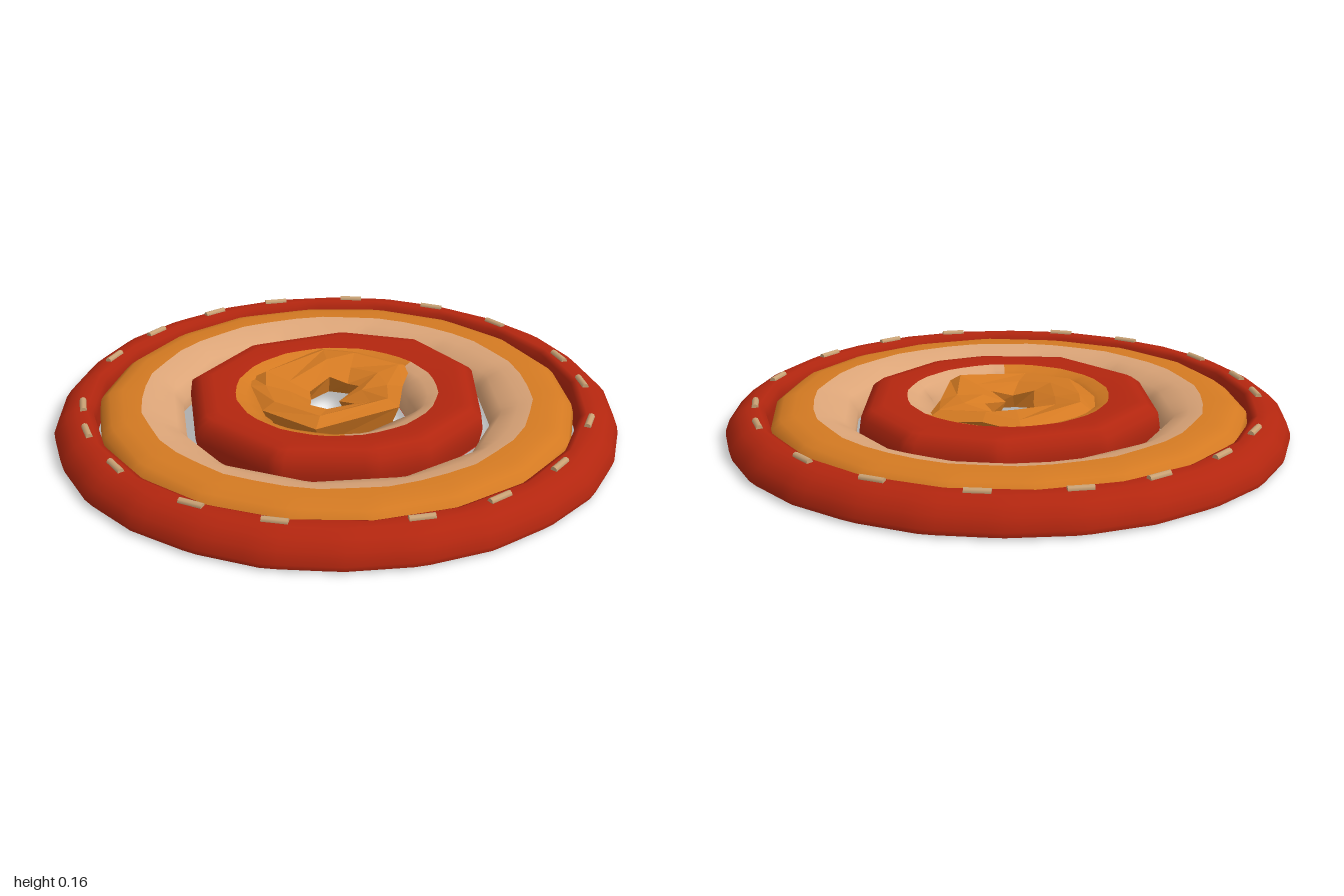
import * as THREE from 'three';

const SEG = 120;
const TAU = Math.PI * 2;

// Regular polygon outline as [x, z] corners, with a slight hand-made unevenness
function regular(n, r, phase = 0, uneven = 0) {
  return Array.from({ length: n }, (_, i) => {
    const a = phase + (i / n) * TAU;
    const q = r * (1 + uneven * Math.sin(i * 2.4));
    return [q * Math.cos(a), q * Math.sin(a)];
  });
}

// Distance from the centre to an outline in the direction a
function reach(outline, a) {
  const dx = Math.cos(a), dz = Math.sin(a);
  for (let i = 0; i < outline.length; i++) {
    const [px, pz] = outline[i], [qx, qz] = outline[(i + 1) % outline.length];
    const ex = qx - px, ez = qz - pz;
    const den = dx * ez - dz * ex;
    const t = (px * ez - pz * ex) / den;
    const u = (px * dz - pz * dx) / den;
    if (t > 0 && u >= -1e-6 && u <= 1 + 1e-6) return t;
  }
  return 0;
}

// One ring of points: outline scaled and raised to y
const row = (outline, scale, y) => Array.from({ length: SEG }, (_, j) => {
  const a = (j / SEG) * TAU, r = reach(outline, a) * scale;
  return [r * Math.cos(a), y, r * Math.sin(a)];
});

// Skin between successive rings of points; pick chooses which segments to keep
function loft(name, rows, material, pick = () => true) {
  const n = rows[0].length, index = [];
  for (let i = 0; i < rows.length - 1; i++) {
    for (let j = 0; j < n; j++) {
      if (!pick(j / n)) continue;
      const k = (j + 1) % n;
      const a = i * n + j, b = i * n + k, c = a + n, d = b + n;
      index.push(a, c, b, b, c, d);
    }
  }
  const g = new THREE.BufferGeometry();
  g.setAttribute('position', new THREE.Float32BufferAttribute(rows.flat(2), 3));
  g.setIndex(index);
  g.computeVertexNormals();
  const mesh = new THREE.Mesh(g, material);
  mesh.name = name;
  return mesh;
}

function mat(name, color, extra = {}) {
  const m = new THREE.MeshStandardMaterial({ color, side: THREE.DoubleSide, ...extra });
  m.name = name;
  return m;
}

export function createModel() {
  const root = new THREE.Group();
  root.name = 'layeredDisc';
  const red = mat('red', 0xb3260f);
  const orange = mat('orange', 0xd47a22, { flatShading: false });
  const tan = mat('tan', 0xdca578);
  const thread = mat('thread', 0xcaa376);

  // Outer red rim
  const rimOut = regular(26, 1, 0, 0.003);
  const rimIn = regular(20, 0.857, 0.1);
  root.add(loft('rim', [
    row(rimOut, 0.995, 0.012), row(rimOut, 1, 0.03), row(rimOut, 0.985, 0.07),
    row(rimOut, 0.955, 0.1), row(rimOut, 0.92, 0.117), row(rimIn, 1.03, 0.12),
    row(rimIn, 1.005, 0.108), row(rimIn, 1, 0.07), row(rimIn, 1, 0.012),
  ], red));
  root.add(loft('rimUnderside', [row(rimIn, 1, 0.012), row(rimOut, 0.995, 0.012)], red));

  // Middle ring: orange outer band, tan inner band, red underside
  const midOut = regular(18, 0.85, 0.2, 0.005);
  const midIn = regular(12, 0.562, -0.04, 0.01);
  const border = regular(40, 0.692, 0, 0.006);
  root.add(loft('middleOrangeBand', [
    row(midOut, 0.985, 0.012), row(midOut, 1, 0.06), row(midOut, 0.99, 0.09),
    row(midOut, 0.955, 0.112), row(midOut, 0.9, 0.125), row(border, 1, 0.125),
  ], orange));
  root.add(loft('middleTanBand', [
    row(border, 1, 0.125), row(border, 0.93, 0.115), row(midIn, 1.06, 0.09),
    row(midIn, 1, 0.05), row(midIn, 1, 0.01),
  ], tan));
  root.add(loft('middleUnderside', [row(midIn, 1, 0.01), row(midOut, 0.985, 0.01)], red));

  // Inner faceted ring: red band, sloping inner lip in orange and tan
  const inOut = [[0.57, -0.06], [0.5, 0.24], [0.2, 0.5], [-0.12, 0.51], [-0.3, 0.42],
    [-0.51, 0.17], [-0.5, -0.21], [-0.25, -0.49], [0.09, -0.53], [0.43, -0.34]];
  const lip = regular(40, 0.36, 0, 0.006);
  const opening = regular(6, 0.29, 0.1, 0.02);
  root.add(loft('innerRedBand', [
    row(inOut, 0.98, 0.008), row(inOut, 1, 0.06), row(inOut, 0.985, 0.115),
    row(inOut, 0.92, 0.14), row(inOut, 0.84, 0.147), row(lip, 1, 0.138),
  ], red));
  const lipRows = [row(lip, 1, 0.138), row(lip, 0.9, 0.125), row(opening, 1, 0.09), row(opening, 1, 0.006)];
  const isTan = (t) => t > 0.02 && t < 0.375;
  root.add(loft('innerTanLip', lipRows, tan, isTan));
  root.add(loft('innerOrangeLip', lipRows, orange, (t) => !isTan(t)));
  root.add(loft('innerUnderside', [row(opening, 1, 0.004), row(inOut, 0.98, 0.004)], red));

  // Crumpled centre with a ragged hole
  const crumple = mat('orange', 0xd47a22, { flatShading: true });
  const outer = [[-0.09, -0.33], [0.25, -0.29], [0.29, -0.15], [0.37, 0.05], [0.19, 0.15],
    [0.03, 0.26], [-0.25, 0.12], [-0.28, -0.1], [-0.18, -0.25]];
  const hole = [[-0.02, -0.11], [0.09, -0.11], [0.12, -0.05], [0.1, 0.02], [-0.01, 0.02],
    [-0.02, 0.1], [-0.08, 0.05], [-0.13, -0.01], [-0.07, -0.06]];
  const crest = [0.15, 0.148, 0.158, 0.142, 0.14, 0.165, 0.145, 0.155, 0.146];
  const ring = (t, y, s = 1) => outer.map(([x, z], i) => [
    s * (x + (hole[i][0] - x) * t), y(i), s * (z + (hole[i][1] - z) * t)]);
  root.add(loft('crumpledCentre', [
    ring(0.25, () => 0.03), ring(0, (i) => 0.115 + 0.012 * (i % 3)),
    ring(0.25, (i) => crest[i]), ring(0.65, (i) => crest[(i + 4) % 9] - 0.012),
    ring(1, (i) => 0.1 + 0.02 * (i % 2)), ring(0.9, () => 0.05), ring(0.25, () => 0.03),
  ], crumple));

  // Stitches round the rim, at uneven angles in degrees
  const stitches = new THREE.Group();
  stitches.name = 'stitches';
  const stitchGeo = new THREE.CylinderGeometry(0.012, 0.012, 0.085, 8).rotateX(Math.PI / 2);
  [-92.4, -73.8, -56.7, -36.7, -15, 4, 28.8, 43.4, 63.7, 85.7, 105, 122.7, 151.6, 169.7,
    192.6, 210.4, 223.5, 250.3].forEach((deg, i) => {
    const a = THREE.MathUtils.degToRad(deg);
    const s = new THREE.Mesh(stitchGeo, thread);
    s.name = 'stitch';
    s.position.set(0.895 * Math.cos(a), 0.12, 0.895 * Math.sin(a));
    s.rotation.y = -a + 0.08 * Math.sin(i * 2.1);
    stitches.add(s);
  });
  root.add(stitches);
  return root;
}
